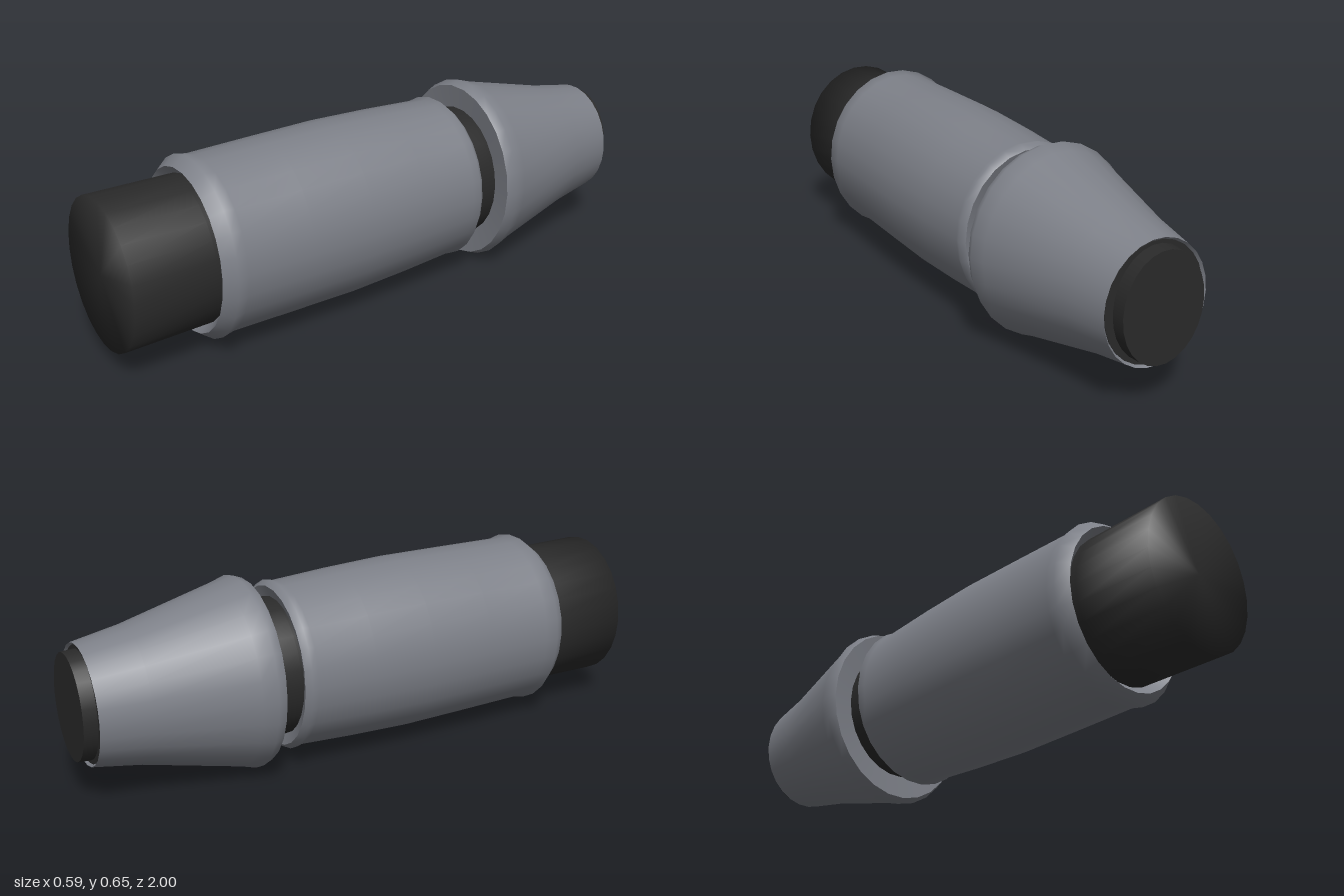
import * as THREE from 'three';

const SIDES = 26;
const CENTRE_Y = 0.325;

export function createModel() {
  const grey = new THREE.MeshStandardMaterial({ color: 0x7d8088 });
  grey.name = 'casingGrey';
  const black = new THREE.MeshStandardMaterial({ color: 0x2a2a2a });
  black.name = 'coreBlack';

  const group = new THREE.Group();
  group.name = 'handle';

  // Turns a profile of [z, radius] pairs, back to front, into an oval sleeve.
  // A repeated pair makes a sharp edge.
  function turned(name, profile, material, ovalX = 0.9) {
    const points = profile.map(([z, r]) => new THREE.Vector2(r, z));
    const geometry = new THREE.LatheGeometry(points, SIDES, Math.PI / SIDES);
    geometry.rotateX(Math.PI / 2);
    geometry.scale(ovalX, 1, 1);
    const mesh = new THREE.Mesh(geometry, material);
    mesh.name = name;
    mesh.position.y = CENTRE_Y;
    group.add(mesh);
  }

  // Inner core, running through both sleeves to the softly shaded front end
  turned('core', [
    [-0.955, 0], [-0.955, 0.192], [-0.955, 0.192], [-0.8, 0.208], [-0.38, 0.234],
    [-0.3, 0.236], [0.3, 0.245], [0.72, 0.25], [1, 0.254], [1, 0],
  ], black);

  // Short plug at the back, narrower across
  turned('backPlug', [
    [-1, 0], [-1, 0.178], [-1, 0.178], [-0.94, 0.182],
  ], black, 0.8);

  // Tapered back sleeve with a flared front lip
  turned('backSleeve', [
    [-0.95, 0.19], [-0.962, 0.2], [-0.962, 0.2], [-0.8, 0.229], [-0.47, 0.311],
    [-0.42, 0.327], [-0.387, 0.314], [-0.387, 0.314], [-0.395, 0.23],
  ], grey);

  // Long barrel-shaped grip with a raised bead at each end
  turned('grip', [
    [-0.29, 0.232], [-0.305, 0.274], [-0.305, 0.274], [-0.285, 0.291], [-0.26, 0.284],
    [-0.05, 0.296], [0.17, 0.304], [0.4, 0.302], [0.64, 0.299], [0.68, 0.308],
    [0.72, 0.277], [0.72, 0.277], [0.69, 0.246],
  ], grey);

  return group;
}
